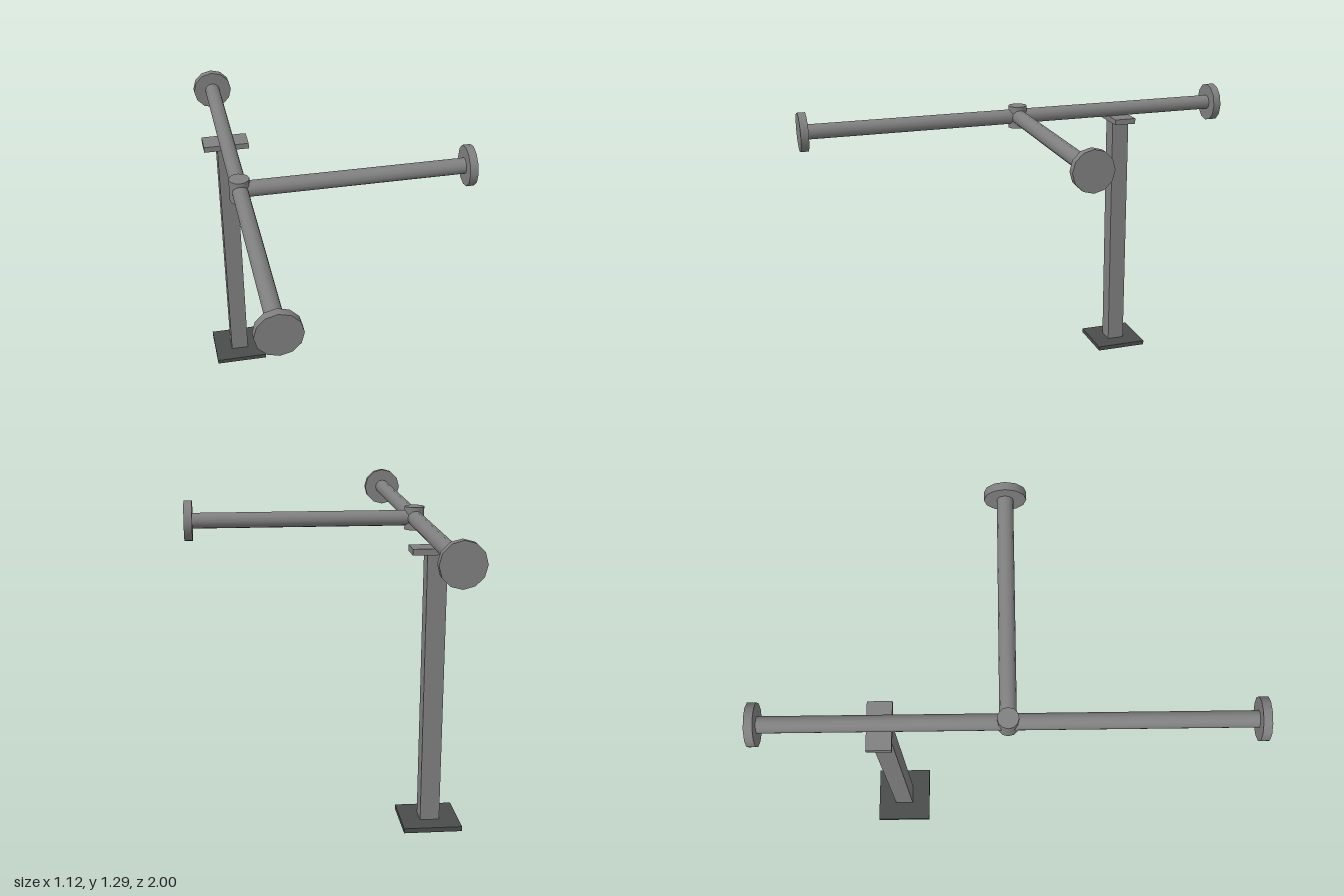
import * as THREE from 'three';

export function createModel() {
  const model = new THREE.Group();
  const steel = new THREE.MeshStandardMaterial({ color: 0x808080 });
  steel.name = 'grey steel';
  const dark = new THREE.MeshStandardMaterial({ color: 0x4a4c4c });
  dark.name = 'dark base';

  const pipeX = -0.44, pipeY = 1.2, postZ = -0.5;

  function add(name, geometry, material, x, y, z) {
    const mesh = new THREE.Mesh(geometry, material);
    mesh.name = name;
    mesh.position.set(x, y, z);
    model.add(mesh);
    return mesh;
  }
  // round part lying along x, y or z
  function round(name, radius, length, axis, x, y, z) {
    const geometry = new THREE.CylinderGeometry(radius, radius, length, 12);
    if (axis === 'x') geometry.rotateZ(-Math.PI / 2);
    if (axis === 'z') geometry.rotateX(Math.PI / 2);
    return add(name, geometry, steel, x, y, z);
  }

  // long pipe with a flange on each end
  round('mainPipe', 0.034, 1.94, 'z', pipeX, pipeY, 0);
  for (const side of [-1, 1]) {
    round(side > 0 ? 'frontFlange' : 'backFlange', 0.088, 0.035, 'z', pipeX, pipeY, side * 0.9825);
  }

  // side branch with its flange, and the junction hub
  round('branchPipe', 0.034, 0.97, 'x', pipeX + 0.485, pipeY, 0);
  round('branchFlange', 0.088, 0.035, 'x', 0.538, pipeY, 0);
  round('hub', 0.043, 0.1, 'y', pipeX, pipeY, 0);

  // support stand
  add('basePlate', new THREE.BoxGeometry(0.24, 0.02, 0.24), dark, pipeX, 0.01, postZ);
  add('post', new THREE.BoxGeometry(0.08, 1.13, 0.08), steel, pipeX, 0.585, postZ);
  add('saddlePlate', new THREE.BoxGeometry(0.2, 0.025, 0.1), steel, pipeX, 1.157, postZ);

  return model;
}
